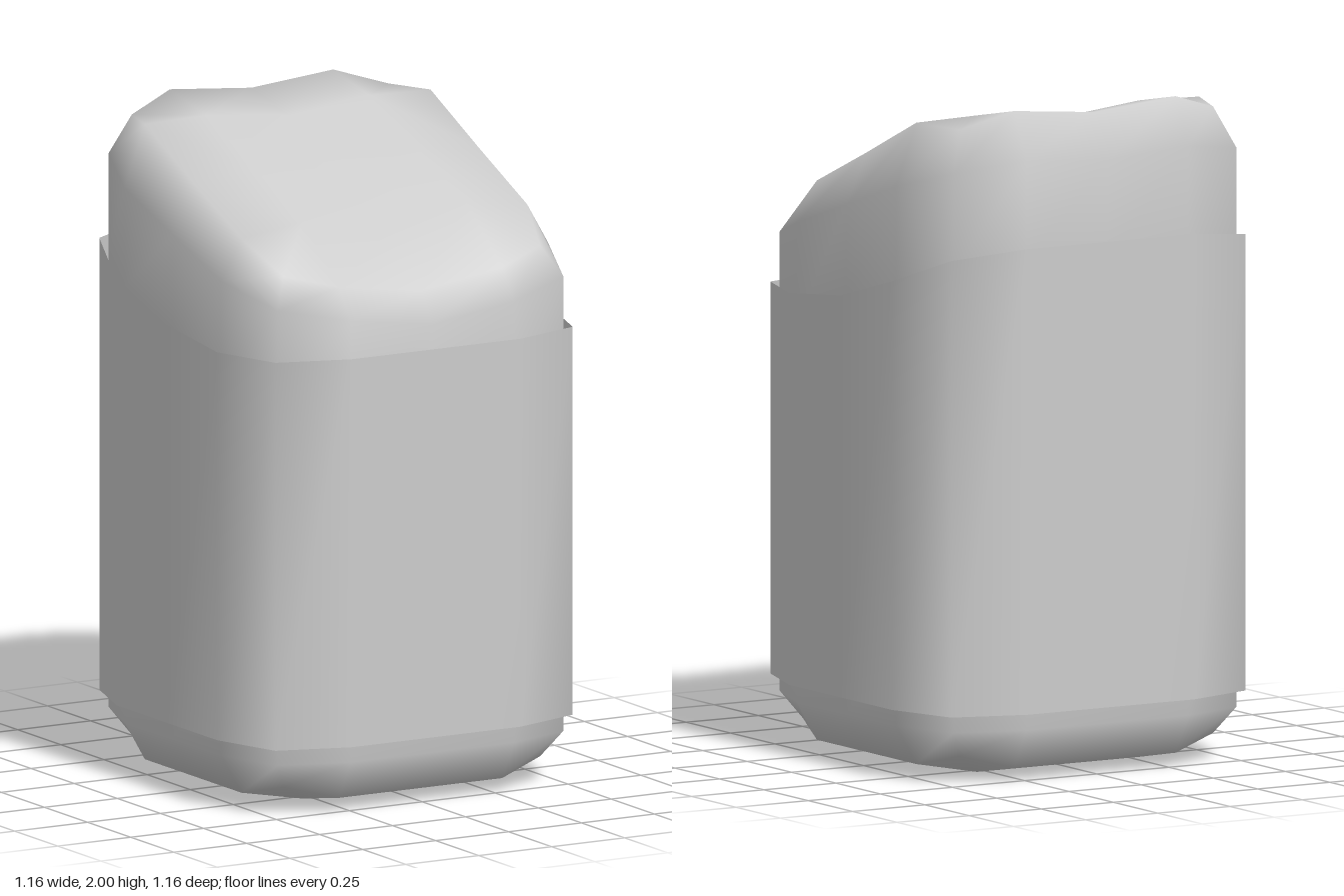
import * as THREE from 'three';
import { mergeVertices } from 'three/addons/utils/BufferGeometryUtils.js';

// One 16-point rounded-square ring, front centre first, turning towards +x.
// side: half width, mid: where the flat ends, corner: corner offset,
// heights: one number, or nine from front centre to back centre (mirrored in x).
function ring(side, mid, corner, heights) {
  const points = [];
  for (let k = 0; k < 16; k++) {
    const [u, v] = [[0, side], [mid, side], [corner, corner], [side, mid]][k % 4];
    const y = Array.isArray(heights) ? heights[Math.min(k, 16 - k)] : heights;
    const quarter = Math.floor(k / 4);
    const [x, z] = [[u, v], [v, -u], [-u, -v], [-v, u]][quarter];
    points.push([x, y, z]);
  }
  return points;
}

// Skins a stack of rings from bottom to top with smooth normals.
function loft(rings) {
  const index = [];
  for (let j = 0; j < rings.length - 1; j++) {
    for (let k = 0; k < 16; k++) {
      const n = (k + 1) % 16;
      const a = j * 16 + k, b = j * 16 + n, c = b + 16, d = a + 16;
      index.push(a, b, c, a, c, d);
    }
  }
  let geometry = new THREE.BufferGeometry();
  geometry.setAttribute('position', new THREE.Float32BufferAttribute(rings.flat(2), 3));
  geometry.setIndex(index);
  geometry = mergeVertices(geometry, 1e-4);
  geometry.computeVertexNormals();
  return geometry;
}

export function createModel() {
  const group = new THREE.Group();
  group.name = 'container';

  // Solid body: flat base, straight walls and a sloping, dished top
  const wallTop = [1.45, 1.49, 1.53, 1.59, 1.68, 1.77, 1.83, 1.86, 1.84];
  const body = new THREE.Mesh(
    loft([
      ring(0, 0, 0, 0),
      ring(0.28, 0.28, 0.28, 0),
      ring(0.49, 0.28, 0.44, [0.04, 0.04, 0.08, 0.04, 0.04, 0.04, 0.08, 0.04, 0.04]),
      ring(0.56, 0.28, 0.49, 0.16),
      ring(0.56, 0.28, 0.49, 0.45),
      ring(0.56, 0.28, 0.49, wallTop.map((y) => y - 0.3)),
      ring(0.56, 0.28, 0.49, wallTop),
      ring(0.49, 0.28, 0.44, [1.54, 1.58, 1.62, 1.71, 1.83, 1.955, 1.95, 2, 1.975]),
      ring(0.28, 0.28, 0.28, [1.67, 1.74, 1.74, 1.74, 1.85, 1.96, 1.96, 1.96, 1.93]),
      ring(0, 0, 0, 1.79),
    ]),
    new THREE.MeshStandardMaterial({ color: 0xcccccc })
  );
  body.name = 'body';
  group.add(body);

  // Thin open sleeve around the body, its rim rising towards the back
  const sleeve = new THREE.Mesh(
    loft([
      ring(0.58, 0.29, 0.51, 0.21),
      ring(0.58, 0.29, 0.51, [1.38, 1.38, 1.38, 1.38, 1.41, 1.49, 1.573, 1.6, 1.6]),
    ]),
    new THREE.MeshStandardMaterial({ color: 0xcccccc, side: THREE.DoubleSide })
  );
  sleeve.name = 'sleeve';
  group.add(sleeve);

  return group;
}
